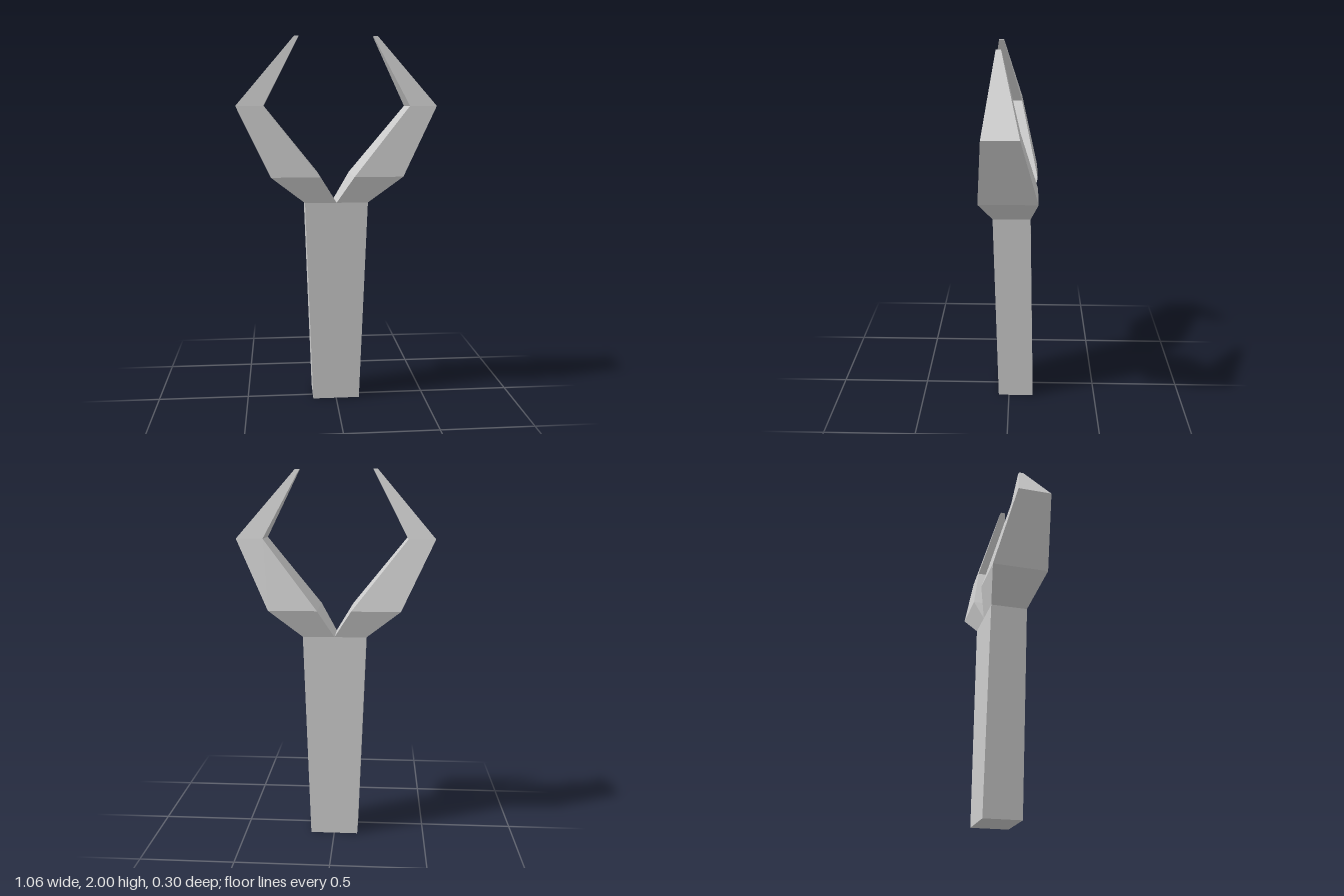
import * as THREE from 'three';

const material = new THREE.MeshStandardMaterial({ color: 0xcccccc, flatShading: true });

// Joins rectangular cross-sections [y, xMin, xMax, zMin, zMax], listed from bottom to top.
function loft(name, sections, capBottom, capTop) {
  const rings = sections.map(([y, x0, x1, z0, z1]) => [
    [x0, y, z1], [x1, y, z1], [x1, y, z0], [x0, y, z0],
  ]);
  const points = [];
  const quad = (a, b, c, d) => points.push(...a, ...b, ...c, ...a, ...c, ...d);
  for (let r = 0; r < rings.length - 1; r++) {
    for (let i = 0; i < 4; i++) {
      const j = (i + 1) % 4;
      quad(rings[r][i], rings[r][j], rings[r + 1][j], rings[r + 1][i]);
    }
  }
  if (capBottom) quad(...[...rings[0]].reverse());
  if (capTop) quad(...rings[rings.length - 1]);

  const geometry = new THREE.BufferGeometry();
  geometry.setAttribute('position', new THREE.Float32BufferAttribute(points, 3));
  geometry.computeVertexNormals();
  const mesh = new THREE.Mesh(geometry, material);
  mesh.name = name;
  return mesh;
}

export function createModel() {
  const group = new THREE.Group();
  group.name = 'forkedClaw';

  // Shaft, widening and leaning slightly forward towards the fork
  group.add(loft('shaft', [
    [0, -0.13, 0.13, -0.14, 0.06],
    [1.125, -0.17, 0.17, -0.115, 0.085],
  ], true, false));

  // Curved prong: flared root, elbow, narrow tip
  const prong = [
    [1.125, 0, 0.17, -0.115, 0.085],
    [1.27, 0.09, 0.35, -0.153, 0.15],
    [1.64, 0.385, 0.528, -0.062, 0.12],
    [2, 0.196, 0.22, 0.034, 0.06],
  ];
  const mirrored = prong.map(([y, x0, x1, z0, z1]) => [y, -x1, -x0, z0, z1]);
  group.add(loft('leftProng', prong, false, true));
  group.add(loft('rightProng', mirrored, false, true));

  return group;
}
